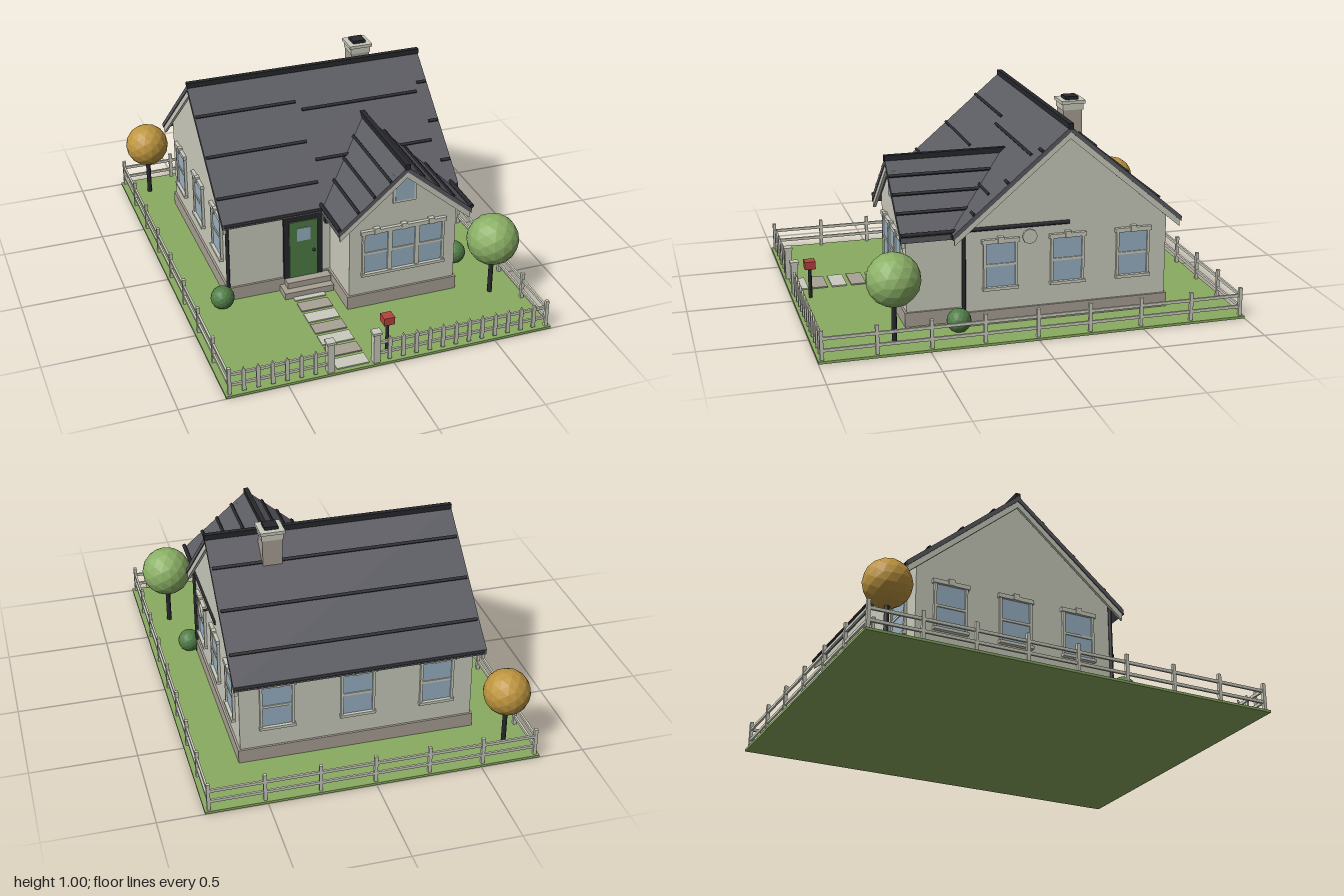
import * as THREE from 'three';

const mat = (name, color, flatShading = false) => {
  const m = new THREE.MeshStandardMaterial({ color, flatShading });
  m.name = name;
  return m;
};

export function createModel() {
  const cream = mat('cream', 0xcbccbe), slate = mat('slate', 0x5b5b62), charcoal = mat('charcoal', 0x27282c);
  const stone = mat('stone', 0xa9a196), glass = mat('glass', 0x9ab3c6), grass = mat('grass', 0x8aab60);
  const leaf = mat('leaf green', 0x8bb066, true), deep = mat('deep green', 0x507d47, true);
  const amber = mat('amber', 0xbe953f, true), red = mat('red', 0xb4443c);

  const root = new THREE.Group();
  root.name = 'cottage';

  const add = (parent, name, geo, material, x = 0, y = 0, z = 0) => {
    const m = new THREE.Mesh(geo, material);
    m.name = name;
    m.position.set(x, y, z);
    parent.add(m);
    return m;
  };
  const group = (parent, name, x = 0, y = 0, z = 0, ry = 0) => {
    const g = new THREE.Group();
    g.name = name;
    g.position.set(x, y, z);
    g.rotation.y = ry;
    parent.add(g);
    return g;
  };
  // Box given by its limits on each axis
  const span = (parent, name, material, x0, x1, y0, y1, z0, z1) =>
    add(parent, name, new THREE.BoxGeometry(x1 - x0, y1 - y0, z1 - z0), material, (x0 + x1) / 2, (y0 + y1) / 2, (z0 + z1) / 2);
  // Outline in x and y, extruded from z0 to z1
  const prism = (parent, name, material, pts, z0, z1) => {
    const shape = new THREE.Shape(pts.map(p => new THREE.Vector2(...p)));
    return add(parent, name, new THREE.ExtrudeGeometry(shape, { depth: z1 - z0, bevelEnabled: false }), material, 0, 0, z0);
  };
  const rod = (parent, name, material, r, len, x, y, z, axis = 'y') => {
    const m = add(parent, name, new THREE.CylinderGeometry(r, r, len, 8), material, x, y, z);
    if (axis === 'x') m.rotation.z = Math.PI / 2;
    if (axis === 'z') m.rotation.x = Math.PI / 2;
    return m;
  };

  // Lawn, path and steps
  span(root, 'lawn', grass, -0.785, 0.785, 0, 0.012, -1, 1);
  for (let i = 0; i < 7; i++) {
    const z = 0.942 - i * 0.095;
    span(root, 'pathSlab', i % 2 ? stone : cream, -0.265, -0.11, 0.01, 0.018, z - 0.037, z + 0.037);
  }
  span(root, 'lowerStep', stone, -0.305, -0.06, 0.01, 0.045, 0.28, 0.38);
  span(root, 'upperStep', stone, -0.28, -0.06, 0.01, 0.076, 0.28, 0.342);

  // Gabled block with its ridge along local z
  const SLOPE = 0.85, THICK = 0.026;
  const chevron = (half, top, drop) => [
    [0, top], [-half, top - half * SLOPE], [-half, top - half * SLOPE - drop],
    [0, top - drop], [half, top - half * SLOPE - drop], [half, top - half * SLOPE]];
  const gableBlock = (parent, ridge, wallHalf, wallZ, roofHalf, roofZ) => {
    const peak = ridge - THICK, eave = peak - wallHalf * SLOPE;
    prism(parent, 'walls', cream, [[-wallHalf, 0.01], [wallHalf, 0.01], [wallHalf, eave], [0, peak], [-wallHalf, eave]], ...wallZ);
    const b = wallHalf + 0.01;
    span(parent, 'stoneBase', stone, -b, b, 0.01, 0.08, wallZ[0] - 0.01, wallZ[1] + 0.01);
    prism(parent, 'roof', slate, chevron(roofHalf, ridge, THICK), ...roofZ);
    span(parent, 'ridgeCap', charcoal, -0.012, 0.012, ridge - 0.015, ridge + 0.015, roofZ[0], roofZ[1] + 0.003);
  };
  const bargeboard = (parent, ridge, half, z) =>
    prism(parent, 'bargeboard', cream, chevron(half, ridge - THICK, 0.032), z, z + 0.014);
  // Dark seam lying on a roof slope at a signed distance from the ridge
  const seam = (parent, ridge, off, z0, z1) => {
    const m = add(parent, 'roofSeam', new THREE.BoxGeometry(0.014, 0.012, z1 - z0), charcoal,
      off, ridge - Math.abs(off) * SLOPE + 0.003, (z0 + z1) / 2);
    m.rotation.z = -Math.sign(off) * Math.atan(SLOPE);
  };

  // Main house, ridge running left to right
  const main = group(root, 'mainHouse', 0, 0, -0.2, Math.PI / 2);
  gableBlock(main, 0.93, 0.485, [-0.555, 0.555], 0.547, [-0.595, 0.59]);
  bargeboard(main, 0.93, 0.54, 0.571);
  bargeboard(main, 0.93, 0.54, -0.59);
  for (const off of [0.12, 0.277, 0.435]) seam(main, 0.93, off, -0.585, 0.58);
  for (const off of [-0.13, -0.29, -0.45]) {
    seam(main, 0.93, off, -0.59, -0.095);
    seam(main, 0.93, off, 0.537, 0.585);
  }
  for (const off of [-0.165, -0.365]) seam(main, 0.93, off, -0.075, 0.522);

  // Front wing
  const wing = group(root, 'frontWing', 0.222, 0, 0);
  gableBlock(wing, 0.742, 0.267, [0.2, 0.545], 0.332, [0, 0.58]);
  bargeboard(wing, 0.742, 0.325, 0.562);
  for (const side of [-1, 1])
    for (const off of [0.08, 0.158, 0.236]) seam(wing, 0.742, side * off, 0.02 + off * 0.95, 0.578);

  // Gutters and downpipes
  for (const x of [-0.108, 0.555]) rod(root, 'wingGutter', charcoal, 0.01, 0.79, x, 0.472, 0.185, 'z');
  for (const z of [0.345, -0.745]) rod(root, 'mainGutter', charcoal, 0.008, 1.17, 0, 0.455, z, 'x');
  for (const x of [-0.56, 0.56]) rod(root, 'downpipe', charcoal, 0.009, 0.46, x, 0.24, 0.292);

  // Sash window facing local +z
  const sash = (x, y, z, ry, w, h) => {
    const g = group(root, 'window', x, y, z, ry), a = w / 2, b = h / 2, f = 0.012;
    span(g, 'pane', glass, -a, a, -b, b, -0.004, 0.004);
    for (const s of [-1, 1]) span(g, 'jamb', cream, s * (a + f / 2) - f / 2, s * (a + f / 2) + f / 2, -b, b, -0.005, 0.012);
    span(g, 'meetingRail', cream, -a, a, -0.006, 0.006, 0, 0.009);
    span(g, 'sill', cream, -a - 0.016, a + 0.016, -b - 0.014, -b, -0.005, 0.02);
    span(g, 'lintel', cream, -a - 0.02, a + 0.02, b, b + 0.02, -0.005, 0.016);
    span(g, 'keystone', cream, -0.014, 0.014, b, b + 0.03, -0.005, 0.02);
  };
  for (const x of [0.085, 0.222, 0.359]) sash(x, 0.302, 0.546, 0, 0.115, 0.21);
  for (const z of [0.12, -0.2, -0.52])
    for (const s of [-1, 1]) sash(s * 0.556, 0.297, z, s * Math.PI / 2, 0.138, 0.21);
  for (const x of [-0.38, 0, 0.38]) sash(x, 0.297, -0.686, Math.PI, 0.138, 0.21);

  // Attic window in the wing gable
  span(root, 'atticFrame', cream, 0.165, 0.279, 0.548, 0.695, 0.54, 0.554);
  span(root, 'atticPane', glass, 0.176, 0.268, 0.56, 0.685, 0.55, 0.557);

  // Front door and lamp
  const door = group(root, 'frontDoor', -0.186, 0, 0.285);
  span(door, 'doorFrame', charcoal, -0.097, 0.097, 0.076, 0.415, 0, 0.014);
  span(door, 'doorLeaf', deep, -0.07, 0.07, 0.08, 0.385, 0.01, 0.02);
  span(door, 'doorPane', glass, -0.034, 0.034, 0.28, 0.35, 0.018, 0.024);
  add(door, 'doorKnob', new THREE.SphereGeometry(0.008, 8, 6), charcoal, 0.05, 0.22, 0.026);
  span(door, 'doorLintel', cream, -0.115, 0.115, 0.424, 0.444, 0, 0.025);
  span(root, 'lampCase', charcoal, -0.078, -0.052, 0.352, 0.392, 0.285, 0.312);
  span(root, 'lampFace', cream, -0.073, -0.057, 0.36, 0.384, 0.31, 0.315);

  // Dish on the left gable
  rod(root, 'dishArm', charcoal, 0.006, 0.035, 0.568, 0.43, -0.01, 'x');
  rod(root, 'dish', cream, 0.036, 0.012, 0.588, 0.43, -0.01, 'x');

  // Chimney
  const chimney = group(root, 'chimney', 0.304, 0, -0.287);
  span(chimney, 'shaft', stone, -0.046, 0.046, 0.75, 0.972, -0.046, 0.046);
  span(chimney, 'capLower', cream, -0.05, 0.05, 0.945, 0.975, -0.05, 0.05);
  span(chimney, 'capUpper', cream, -0.058, 0.058, 0.975, 0.99, -0.058, 0.058);
  span(chimney, 'flue', charcoal, -0.032, 0.032, 0.985, 1.005, -0.032, 0.032);

  // Trees and bushes
  const crown = (name, material, r, x, y, z) => add(root, name, new THREE.IcosahedronGeometry(r, 2), material, x, y, z);
  rod(root, 'greenTreeTrunk', charcoal, 0.012, 0.22, 0.645, 0.12, 0.635);
  crown('greenTreeCrown', leaf, 0.125, 0.645, 0.305, 0.635);
  rod(root, 'amberTreeTrunk', charcoal, 0.012, 0.22, -0.66, 0.12, -0.86);
  crown('amberTreeCrown', amber, 0.11, -0.66, 0.295, -0.86);
  for (const x of [-0.6, 0.595]) crown('bush', deep, 0.057, x, 0.06, 0.325);

  // Letter box
  rod(root, 'letterBoxPost', charcoal, 0.009, 0.16, 0, 0.09, 0.912);
  span(root, 'letterBox', red, -0.026, 0.026, 0.162, 0.2, 0.886, 0.938);

  // Fence of posts and two rails along the sides and back
  const fence = group(root, 'fence');
  const post = (x, z) => span(fence, 'fencePost', cream, x - 0.008, x + 0.008, 0.01, 0.148, z - 0.008, z + 0.008);
  const RAILS = [0.055, 0.11], FX = 0.765, FZ = 0.982;
  for (const y of RAILS) {
    for (const s of [-1, 1]) span(fence, 'sideRail', cream, s * FX - 0.005, s * FX + 0.005, y - 0.007, y + 0.007, -FZ, FZ);
    span(fence, 'backRail', cream, -FX, FX, y - 0.007, y + 0.007, -FZ - 0.005, -FZ + 0.005);
  }
  for (let i = 0; i <= 8; i++) for (const s of [-1, 1]) post(s * FX, -FZ + i * FZ / 4);
  for (let i = 1; i < 6; i++) post(-FX + i * FX / 3, -FZ);

  // Picket fence and gateposts at the front
  for (const [x0, x1, n] of [[-FX, -0.3, 7], [-0.08, FX, 13]]) {
    for (const y of RAILS) span(fence, 'frontRail', cream, x0, x1, y - 0.007, y + 0.007, FZ - 0.01, FZ);
    for (let i = 1; i < n; i++) {
      const x = x0 + (x1 - x0) * i / n, w = 0.009;
      prism(fence, 'picket', cream, [[x - w, 0.018], [x + w, 0.018], [x + w, 0.122], [x, 0.142], [x - w, 0.122]], FZ - 0.003, FZ + 0.006);
    }
  }
  for (const x of [-0.297, -0.079]) {
    span(root, 'gatepost', cream, x - 0.016, x + 0.016, 0.01, 0.163, 0.96, 0.992);
    span(root, 'gatepostCap', cream, x - 0.021, x + 0.021, 0.163, 0.175, 0.955, 0.997);
  }
  return root;
}
